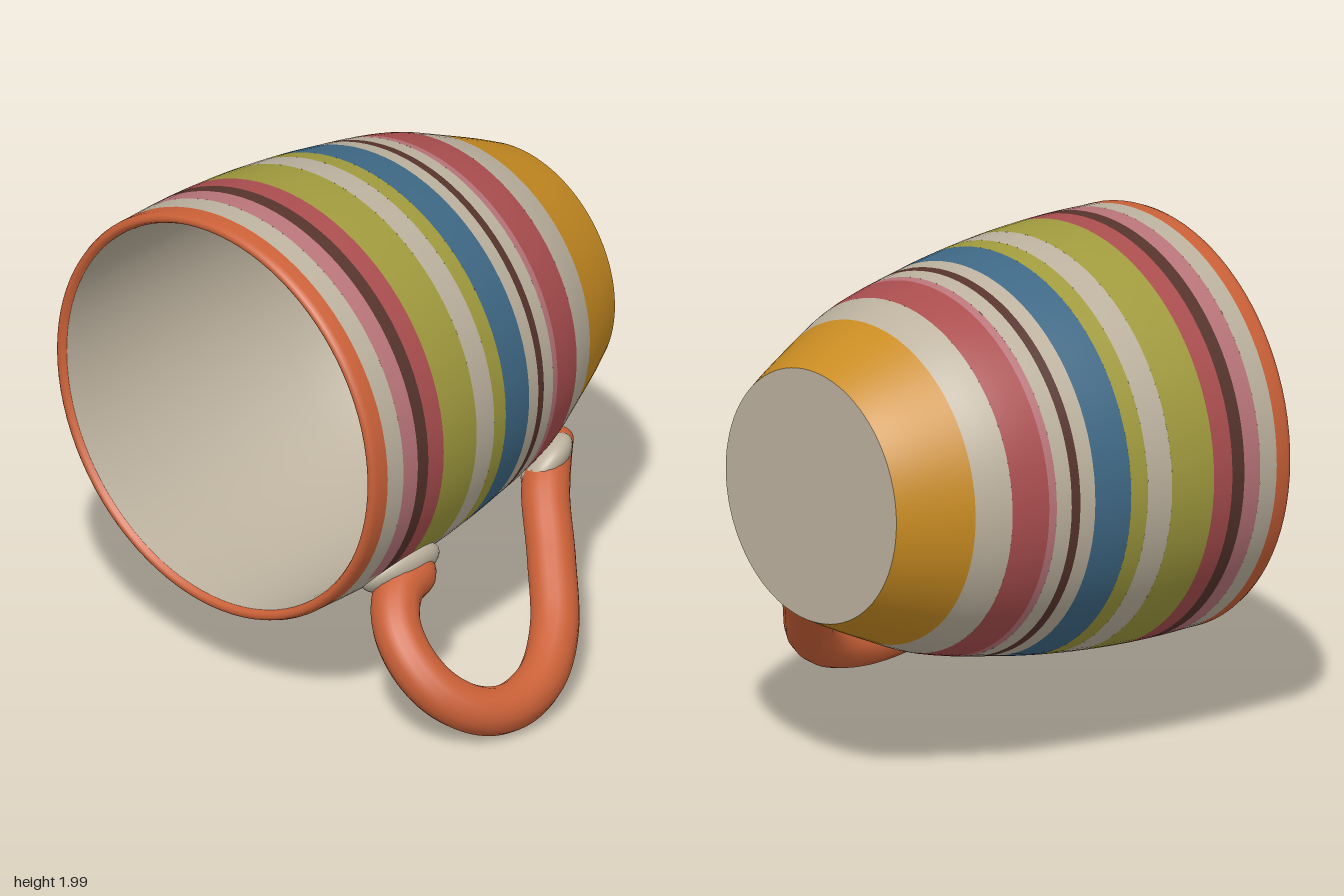
import * as THREE from 'three';

const mat = (name, color) => {
  const m = new THREE.MeshStandardMaterial({ color });
  m.name = name;
  return m;
};

export function createModel() {
  const cream = mat('cream glaze', 0xbdb29f);
  const amber = mat('amber', 0xc98c22);
  const red = mat('red', 0xab4e4f);
  const pink = mat('pink', 0xb9757a);
  const brown = mat('brown', 0x57342d);
  const blue = mat('blue', 0x3f6986);
  const olive = mat('olive', 0xa19b3e);
  const orange = mat('orange', 0xcb6138);

  const model = new THREE.Group();
  model.name = 'stripedMug';
  const add = (parent, name, geometry, material) => {
    const mesh = new THREE.Mesh(geometry, material);
    mesh.name = name;
    parent.add(mesh);
    return mesh;
  };

  // The cup lies on its side: local y runs from its base to its rim
  const base = new THREE.Vector3(-0.203, 1.183, -0.866);
  const rimCentre = new THREE.Vector3(-0.143, 1.166, 0.845);
  const cup = new THREE.Group();
  cup.name = 'cup';
  cup.position.copy(base);
  cup.quaternion.setFromUnitVectors(
    new THREE.Vector3(0, 1, 0), rimCentre.clone().sub(base).normalize());
  model.add(cup);

  // Outer radius at height t, interpolated smoothly
  const profile = new THREE.SplineCurve([
    [0.5, 0], [0.555, 0.11], [0.632, 0.28], [0.692, 0.42], [0.732, 0.57], [0.757, 0.7],
    [0.792, 0.9], [0.817, 1.1], [0.832, 1.3], [0.837, 1.5], [0.832, 1.7],
  ].map(([r, t]) => new THREE.Vector2(r, t))).getPoints(200);
  const radiusAt = (t) => {
    const i = Math.max(1, profile.findIndex((p) => p.y >= t - 1e-6));
    const a = profile[i - 1], b = profile[i];
    return THREE.MathUtils.mapLinear(t, a.y, b.y, a.x, b.x);
  };
  const wall = (t0, t1, from = 0, sweep = 360) => {
    const n = Math.max(2, Math.ceil((t1 - t0) / 0.04));
    const pts = [];
    for (let i = 0; i <= n; i++) {
      const t = t0 + (t1 - t0) * i / n;
      pts.push(new THREE.Vector2(radiusAt(t), t));
    }
    return new THREE.LatheGeometry(pts, Math.ceil(sweep / 4),
      THREE.MathUtils.degToRad(from), THREE.MathUtils.degToRad(sweep));
  };

  // Painted stripes: [name, end height, colour, broken by the handle]
  const stripes = [
    ['baseBand', 0.285, amber], ['creamBand', 0.422, cream],
    ['redBand', 0.573, red, true], ['pinkEdge', 0.605, pink, true],
    ['creamBand', 0.67, cream], ['brownLine', 0.708, brown],
    ['creamBand', 0.773, cream], ['blueBand', 0.932, blue],
    ['narrowOliveBand', 1.008, olive, true], ['creamBand', 1.12, cream],
    ['wideOliveBand', 1.32, olive, true], ['redBand', 1.41, red, true],
    ['brownBand', 1.47, brown, true], ['pinkBand', 1.55, pink, true],
    ['creamBand', 1.636, cream],
  ];
  let start = 0;
  for (const [name, end, material, broken] of stripes) {
    if (broken) {
      add(cup, name, wall(start, end, 52, 346), material);
      add(cup, name + 'Gap', wall(start, end, 38, 14), cream);
    } else {
      add(cup, name, wall(start, end), material);
    }
    start = end;
  }

  // Rounded rim, hollow inside and flat base
  const turned = (pts) => new THREE.LatheGeometry(pts.map(([r, t]) => new THREE.Vector2(r, t)), 90);
  add(cup, 'rim', turned([
    [radiusAt(1.636), 1.636], [0.834, 1.69], [0.826, 1.711], [0.812, 1.717],
    [0.799, 1.712], [0.79, 1.695],
  ]), orange);
  add(cup, 'interior', turned([
    [0.79, 1.695], [0.786, 1.6], [0.787, 1.4], [0.776, 1.15], [0.75, 0.9], [0.71, 0.65],
    [0.66, 0.45], [0.59, 0.28], [0.53, 0.17], [0.48, 0.12], [0.42, 0.1], [0.3, 0.095], [0, 0.095],
  ]), cream);
  add(cup, 'base', turned([[0, 0], [0.5, 0]]), cream);

  // Handle: a loop in the diagonal plane, given as z and y
  const at = (z, y) => new THREE.Vector3(1.015 - y, y, z);
  const path = new THREE.CatmullRomCurve3([
    [0.29, 0.56], [0.38, 0.55], [0.49, 0.52], [0.58, 0.44], [0.607, 0.33], [0.565, 0.22],
    [0.45, 0.135], [0.3, 0.105], [0.1, 0.14], [-0.08, 0.245], [-0.25, 0.43], [-0.4, 0.61],
    [-0.52, 0.69], [-0.64, 0.73],
  ].map(([z, y]) => at(z, y)));
  const rings = 90, sides = 16;
  const tube = new THREE.TubeGeometry(path, rings, 0.095, sides);
  // Round off both ends, with a longer taper at the lower root
  const pos = tube.attributes.position;
  const v = new THREE.Vector3();
  for (let i = 0; i <= rings; i++) {
    const u = i / rings;
    const ease = (d, len) => Math.sqrt(Math.max(0, 1 - (1 - Math.min(1, d / len)) ** 2));
    const k = ease(u, 0.04) * ease(1 - u, 0.14);
    const centre = path.getPointAt(u);
    for (let j = 0; j <= sides; j++) {
      const n = i * (sides + 1) + j;
      v.fromBufferAttribute(pos, n).sub(centre).multiplyScalar(k).add(centre);
      pos.setXYZ(n, v.x, v.y, v.z);
    }
  }
  tube.computeVertexNormals();
  // Keep the shading smooth across the lengthwise seam
  const nor = tube.attributes.normal;
  for (let i = 0; i <= rings; i++) {
    const a = i * (sides + 1), b = a + sides;
    v.fromBufferAttribute(nor, a);
    v.add(new THREE.Vector3().fromBufferAttribute(nor, b)).normalize();
    nor.setXYZ(a, v.x, v.y, v.z);
    nor.setXYZ(b, v.x, v.y, v.z);
  }
  add(model, 'handle', tube, orange);

  // Soft cream collars where the handle joins the wall
  const collar = (name, z, y, size, tilt) => {
    const holder = new THREE.Group();
    holder.name = name;
    holder.position.copy(at(z, y));
    holder.rotation.z = -Math.PI / 4;
    const mesh = add(holder, name + 'Glaze', new THREE.SphereGeometry(1, 28, 18), cream);
    mesh.scale.set(...size);
    mesh.rotation.y = tilt;
    model.add(holder);
  };
  collar('frontCollar', 0.42, 0.58, [0.075, 0.12, 0.19], 0);
  collar('backCollar', -0.47, 0.675, [0.065, 0.12, 0.14], 0.4);

  return model;
}
